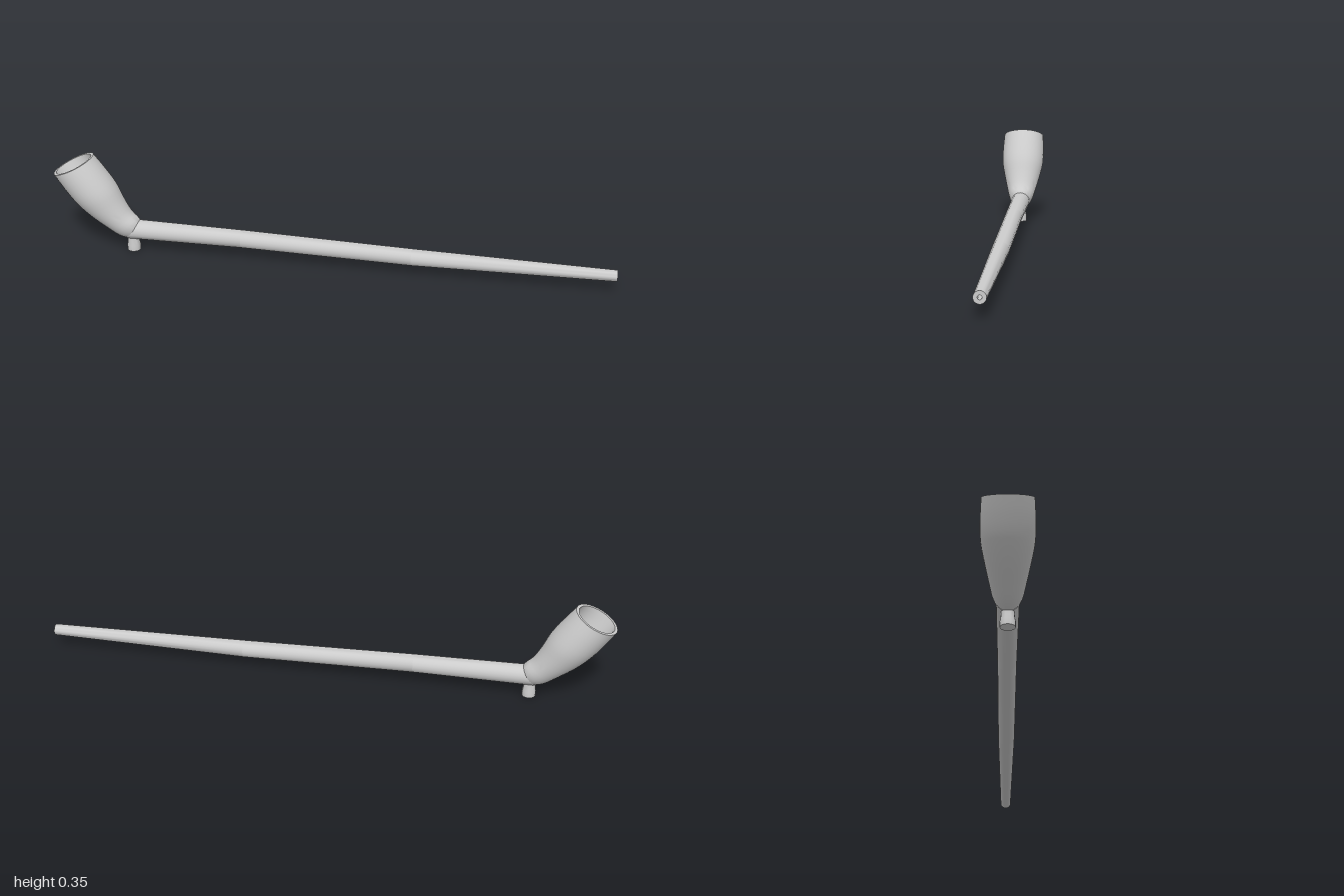
import * as THREE from 'three';
import { toCreasedNormals } from 'three/addons/utils/BufferGeometryUtils.js';

const material = new THREE.MeshStandardMaterial({ color: 0xcccccc });

// A ring is [leftX, leftY, rightX, rightY, halfDepth]: a tilted ellipse seen edge-on from the front.
function loft(rings, sides, name) {
  const pos = [], index = [];
  for (const [lx, ly, rx, ry, w] of rings) {
    for (let j = 0; j < sides; j++) {
      const t = (j / sides) * Math.PI * 2, c = Math.cos(t);
      pos.push((lx + rx) / 2 + c * (rx - lx) / 2, (ly + ry) / 2 + c * (ry - ly) / 2, w * Math.sin(t));
    }
  }
  for (let i = 0; i < rings.length - 1; i++) {
    for (let j = 0; j < sides; j++) {
      const k = (j + 1) % sides, a = i * sides + j, b = i * sides + k;
      index.push(a, b, a + sides, b, b + sides, a + sides);
    }
  }
  const geo = new THREE.BufferGeometry();
  geo.setAttribute('position', new THREE.Float32BufferAttribute(pos, 3));
  geo.setIndex(index);
  const mesh = new THREE.Mesh(toCreasedNormals(geo, 0.7), material);
  mesh.name = name;
  return mesh;
}

// Scale a ring about its own centre
function shrink([lx, ly, rx, ry, w], s) {
  const cx = (lx + rx) / 2, cy = (ly + ry) / 2;
  return [cx + (lx - cx) * s, cy + (ly - cy) * s, cx + (rx - cx) * s, cy + (ry - cy) * s, w * s];
}

const upright = (x, y, r) => [x, y - r, x, y + r, r];
const flat = (x, y, r) => [x - r, y, x + r, y, r];

export function createModel() {
  const group = new THREE.Group();
  group.name = 'clayPipe';

  // Bowl: outer skin from rim to heel, smoothed along its length
  const key = [
    [-1, 0.29, -0.858, 0.355, 0.08],
    [-0.97, 0.244, -0.82, 0.305, 0.083],
    [-0.928, 0.187, -0.78, 0.246, 0.082],
    [-0.88, 0.138, -0.755, 0.192, 0.07],
    [-0.822, 0.092, -0.728, 0.145, 0.056],
    [-0.775, 0.058, -0.7, 0.117, 0.044],
    [-0.74, 0.046, -0.69, 0.08, 0.026],
  ];
  const left = new THREE.CatmullRomCurve3(key.map((k) => new THREE.Vector3(k[0], k[1], k[4])));
  const right = new THREE.CatmullRomCurve3(key.map((k) => new THREE.Vector3(k[2], k[3], 0)));
  const outer = [];
  for (let i = 0; i <= 18; i++) {
    const l = left.getPoint(i / 18), r = right.getPoint(i / 18);
    outer.push([l.x, l.y, r.x, r.y, l.z]);
  }
  // Hollow chamber, narrowing toward its floor
  const inner = outer.slice(0, 13).map((ring, i) => shrink(ring, 0.87 - 0.012 * i)).reverse();
  group.add(loft([shrink(inner[0], 0), ...inner, ...outer, shrink(outer[18], 0)], 32, 'bowl'));

  // Stem in three tapering lengths
  const joints = [[-0.74, 0.081, 0.036], [-0.32, 0.079, 0.032], [0.29, 0.066, 0.03], [1, 0.065, 0.02]];
  ['stemNearBowl', 'stemMiddle'].forEach((name, i) => {
    const a = upright(...joints[i]), b = upright(...joints[i + 1]);
    group.add(loft([shrink(a, 0), a, b, shrink(b, 0)], 20, name));
  });
  // Mouth end with a small bore
  const start = upright(...joints[2]), tip = upright(...joints[3]);
  const bore = upright(1, 0.065, 0.007), boreEnd = upright(0.8, 0.066, 0.007);
  group.add(loft([shrink(start, 0), start, tip, bore, boreEnd, shrink(boreEnd, 0)], 20, 'mouthpiece'));

  // Short spur under the heel
  group.add(loft([flat(-0.725, 0.07, 0.02), flat(-0.725, 0.035, 0.021), flat(-0.725, 0.02, 0.024),
    flat(-0.725, 0, 0.024), flat(-0.725, 0, 0)], 16, 'spur'));

  return group;
}
